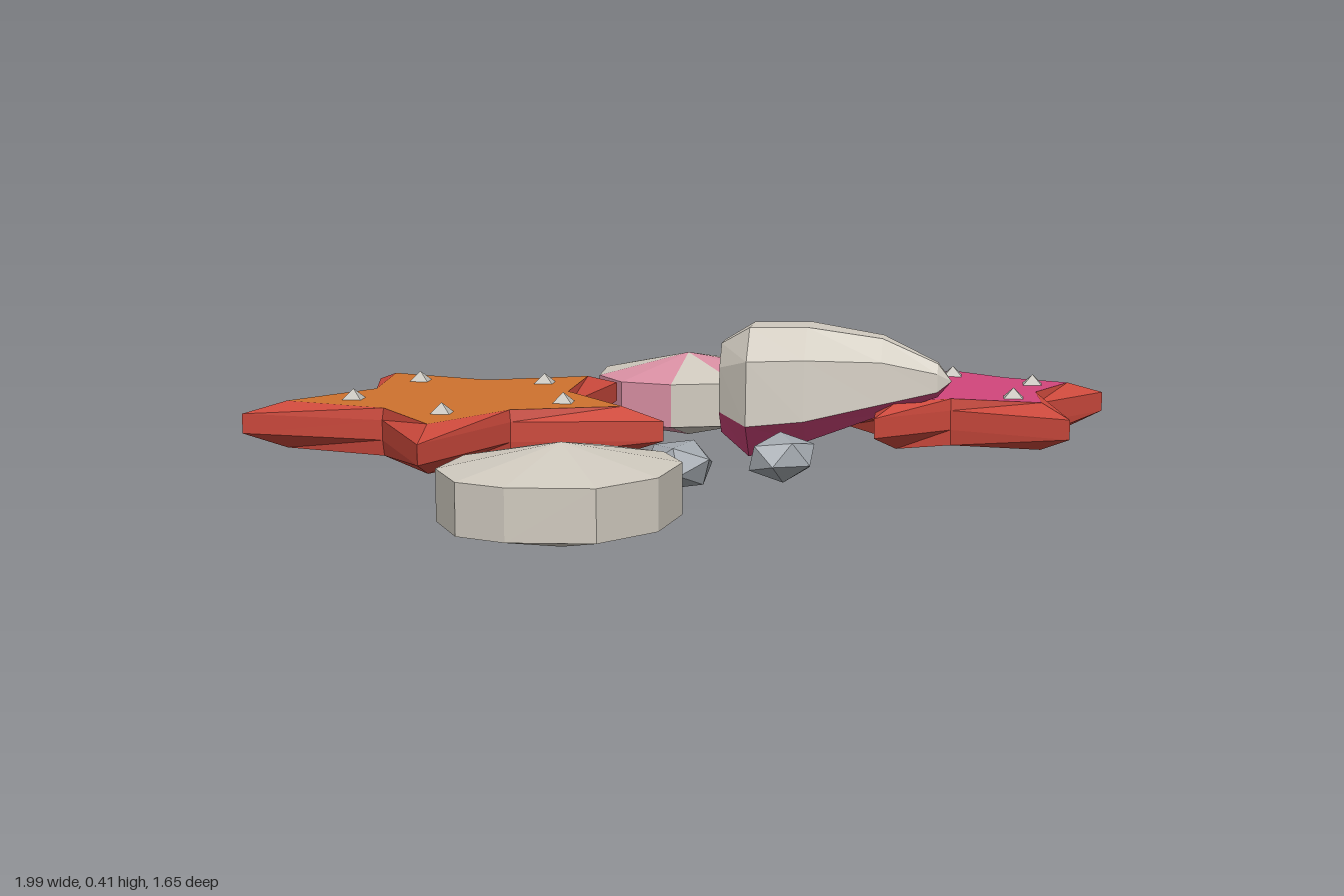
import * as THREE from 'three';

const mat = (name, color) => {
  const m = new THREE.MeshStandardMaterial({ color, flatShading: true });
  m.name = name;
  return m;
};

// Skin a stack of equal-length rings; pick(segment, band) chooses the material index.
function loft(name, mats, rings, pick) {
  const lists = mats.map(() => []);
  const n = rings[0].length;
  const tri = new THREE.Triangle();
  for (let b = 0; b < rings.length - 1; b++) {
    for (let i = 0; i < n; i++) {
      const j = (i + 1) % n, L = rings[b], U = rings[b + 1];
      for (const t of [[L[j], L[i], U[i]], [L[j], U[i], U[j]]]) {
        tri.set(...t);
        if (tri.getArea() > 1e-7) for (const p of t) lists[pick(i, b)].push(p.x, p.y, p.z);
      }
    }
  }
  const geo = new THREE.BufferGeometry();
  geo.setAttribute('position', new THREE.Float32BufferAttribute(lists.flat(), 3));
  let start = 0;
  lists.forEach((l, k) => {
    geo.addGroup(start, l.length / 3, k);
    start += l.length / 3;
  });
  geo.computeVertexNormals();
  const mesh = new THREE.Mesh(geo, mats);
  mesh.name = name;
  return mesh;
}

export function createModel() {
  const group = new THREE.Group();
  const red = mat('red', 0xcc493c);
  const orange = mat('orange', 0xcf722e);
  const pink = mat('hotPink', 0xd2467c);
  const cream = mat('cream', 0xd0cabf);
  const rose = mat('rose', 0xda90a4);
  const stone = mat('stone', 0xa2a8ae);
  const silver = mat('silver', 0xc4c1ba);

  // Outline points are [x, z], clockwise seen from above.
  const ring = (pts, y, c, scale) => pts.map(([x, z], i) => {
    const s = typeof scale === 'function' ? scale(i) : scale;
    return new THREE.Vector3(c[0] + (x - c[0]) * s, y, c[1] + (z - c[1]) * s);
  });

  // Star slab with bevelled points, coloured top and five studs
  function star(name, topMat, c, pts, inset, studs) {
    const g = new THREE.Group();
    g.name = name;
    const bevel = (i) => (i % 2 ? 0.98 : inset);
    g.add(loft(name + 'Body', [red, topMat], [
      ring(pts, 0.11, c, 0), ring(pts, 0.11, c, bevel),
      ring(pts, 0.15, c, 1), ring(pts, 0.2, c, 1),
      ring(pts, 0.23, c, bevel), ring(pts, 0.23, c, 0),
    ], (i, b) => (b === 4 ? 1 : 0)));
    for (const [x, z] of studs) {
      const stud = new THREE.Mesh(new THREE.OctahedronGeometry(1), silver);
      stud.name = 'stud';
      stud.scale.set(0.037, 0.028, 0.037);
      stud.position.set(x, 0.228, z);
      g.add(stud);
    }
    group.add(g);
  }
  star('largeStar', orange, [-0.486, -0.272], [
    [-0.41, -0.827], [-0.295, -0.463], [0.066, -0.367], [-0.235, -0.158], [-0.22, 0.22],
    [-0.525, 0], [-0.87, 0.13], [-0.76, -0.218], [-0.99, -0.517], [-0.61, -0.51],
  ], 0.8, [[-0.445, -0.555], [-0.74, -0.393], [-0.205, -0.32], [-0.68, -0.068], [-0.353, -0.02]]);
  star('smallStar', pink, [0.612, 0.41], [
    [0.398, 0.06], [0.63, 0.2], [0.874, 0.1], [0.835, 0.36], [0.99, 0.563],
    [0.71, 0.59], [0.585, 0.82], [0.455, 0.535], [0.215, 0.51], [0.41, 0.31],
  ], 0.75, [[0.5, 0.23], [0.745, 0.247], [0.8, 0.488], [0.595, 0.617], [0.43, 0.455]]);

  // Ten-sided discs with shallow cones above and below
  function disc(name, c, pts, pinkSides) {
    group.add(loft(name, [cream, rose], [
      ring(pts, 0, c, 0), ring(pts, 0.065, c, 1),
      ring(pts, 0.185, c, 1), ring(pts, 0.24, c, 0),
    ], (i) => (pinkSides.includes(i) ? 1 : 0)));
  }
  disc('plainDisc', [-0.71, 0.485], [
    [-0.62, 0.227], [-0.48, 0.317], [-0.42, 0.483], [-0.468, 0.617], [-0.623, 0.73],
    [-0.8, 0.745], [-0.95, 0.617], [-1, 0.5], [-0.95, 0.34], [-0.81, 0.237],
  ], []);
  disc('stripedDisc', [0.42, -0.5], [
    [0.468, -0.768], [0.62, -0.704], [0.703, -0.555], [0.676, -0.394], [0.558, -0.27],
    [0.377, -0.228], [0.216, -0.319], [0.14, -0.447], [0.168, -0.59], [0.29, -0.72],
  ], [0, 3, 4, 6, 7]);

  // Tapered two-tone pebble, lofted along a slanting axis
  const along = new THREE.Vector3(0.69, 0, 0.72), across = new THREE.Vector3(0.72, 0, -0.69);
  const section = ([s, mid, half, low, seam, high, roll]) => [
    [-1, seam - roll], [-0.9, seam + (high - seam) * 0.62], [-0.4, high], [0.4, high],
    [0.9, seam + (high - seam) * 0.62], [1, seam + roll], [0.45, low + roll * 0.5], [-0.45, low],
  ].map(([t, y]) => along.clone().multiplyScalar(s)
    .addScaledVector(across, mid + t * half).setY(y));
  group.add(loft('pebble', [cream, pink], [
    [0.11, 0.02, 0, 0.25, 0.25, 0.25, 0],
    [0.115, 0.0, 0.09, 0.13, 0.21, 0.36, 0.02],
    [0.195, -0.037, 0.155, 0.08, 0.205, 0.41, 0.035],
    [0.34, -0.03, 0.155, 0.12, 0.215, 0.412, 0.03],
    [0.53, -0.04, 0.095, 0.19, 0.24, 0.385, 0.015],
    [0.67, -0.07, 0.035, 0.24, 0.26, 0.325, 0.005],
    [0.705, -0.077, 0, 0.28, 0.28, 0.28, 0],
  ].map(section), (i) => (i < 5 ? 0 : 1)));

  // Small faceted stones: position, size, turn
  [
    [-0.345, 0.14, 0.443, 0.092, 0.062, 0.087, 0.4],
    [-0.11, 0.145, 0.54, 0.097, 0.06, 0.077, 1.3],
    [0.615, 0.145, -0.1, 0.088, 0.07, 0.085, 2.2],
    [0.885, 0.148, 0.4, 0.085, 0.07, 0.08, 0.9],
  ].forEach(([x, y, z, sx, sy, sz, turn]) => {
    const geo = new THREE.IcosahedronGeometry(1, 0).rotateY(turn).rotateX(0.25);
    geo.scale(sx, sy, sz);
    const rock = new THREE.Mesh(geo, stone);
    rock.name = 'stone';
    rock.position.set(x, y, z);
    group.add(rock);
  });

  return group;
}
